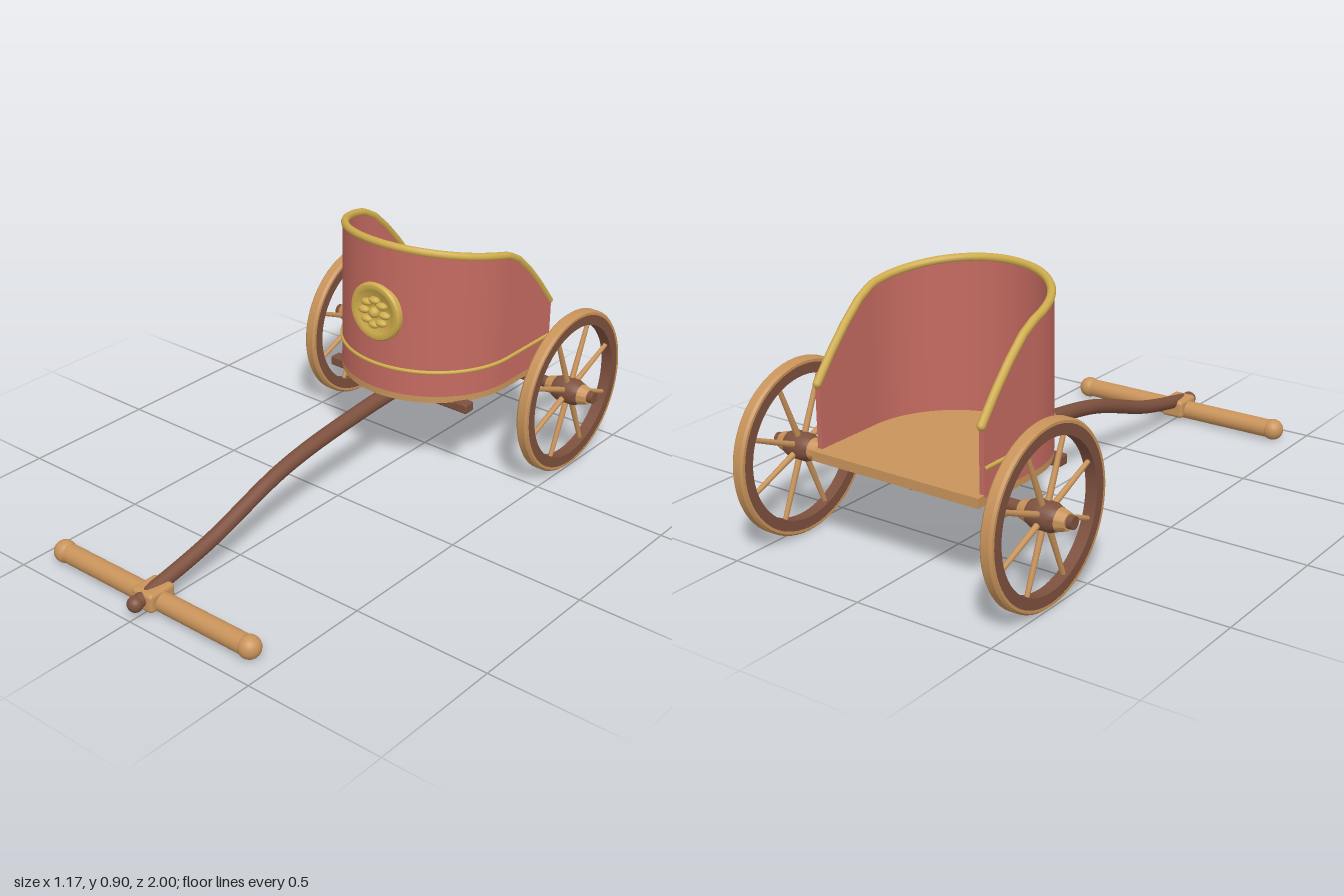
import * as THREE from 'three';
import { toCreasedNormals, mergeGeometries } from 'three/addons/utils/BufferGeometryUtils.js';
import { RoundedBoxGeometry } from 'three/addons/geometries/RoundedBoxGeometry.js';

const V = (x, y, z) => new THREE.Vector3(x, y, z);
const REAR = -0.79, MID = -0.53; // rear end of the walls, centre of the rounded front

// Height of the wall's upper edge at depth z
function topHeight(z) {
  const pts = [[-0.79, 0.575], [-0.72, 0.66], [-0.65, 0.735], [-0.58, 0.797], [-0.52, 0.83], [-0.45, 0.846], [-0.2, 0.893]];
  for (let i = 1; i < pts.length; i++) {
    const [z0, y0] = pts[i - 1], [z1, y1] = pts[i];
    if (z <= z1) return y0 + (y1 - y0) * (z - z0) / (z1 - z0);
  }
  return 0.893;
}

// U-shaped plan line at radius r, from the left rear round the front to the right rear
function planLine(r, height) {
  const out = [], n = 16, arc = 48;
  const add = (x, z) => out.push(V(x, height(z), z));
  for (let i = 0; i < n; i++) add(r, REAR + (MID - REAR) * i / n);
  for (let i = 0; i <= arc; i++) {
    const a = Math.PI * i / arc;
    add(r * Math.cos(a), MID + r * Math.sin(a));
  }
  for (let i = 1; i <= n; i++) add(-r, MID + (REAR - MID) * i / n);
  return out;
}

// Ribbon of faces between two rows of points
function strip(a, b) {
  const pos = [], idx = [];
  a.forEach((p, i) => {
    pos.push(...p.toArray(), ...b[i].toArray());
    const k = 2 * i;
    if (i < a.length - 1) idx.push(k, k + 1, k + 2, k + 1, k + 3, k + 2);
  });
  const g = new THREE.BufferGeometry();
  g.setAttribute('position', new THREE.Float32BufferAttribute(pos, 3));
  g.setIndex(idx);
  g.computeVertexNormals();
  return g;
}

// Curved wall with thickness and closed ends
function wallGeometry() {
  const low = () => 0.35;
  const ob = planLine(0.326, low), ot = planLine(0.326, topHeight);
  const ib = planLine(0.308, low), it = planLine(0.308, topHeight);
  const e = ob.length - 1;
  return mergeGeometries([
    strip(ob, ot), strip(it, ib), strip(ot, it), strip(ib, ob),
    strip([ob[0], ot[0]], [ib[0], it[0]]), strip([ib[e], it[e]], [ob[e], ot[e]]),
  ]);
}

const turned = (pts, seg = 48) =>
  toCreasedNormals(new THREE.LatheGeometry(pts.map(p => new THREE.Vector2(...p)), seg), 0.6);

const tube = (pts, r, seg) =>
  new THREE.TubeGeometry(new THREE.CatmullRomCurve3(pts), seg, r, 10);

export function createModel() {
  const model = new THREE.Group();
  model.name = 'chariot';
  const mat = (name, color) => Object.assign(new THREE.MeshStandardMaterial({ color }), { name });
  const red = mat('red paint', 0xc46a60);
  const wood = mat('light wood', 0xc8935a);
  const dark = mat('dark wood', 0x7d503e);
  const gold = mat('gold', 0xcfac4c);

  function add(parent, name, geometry, material, x = 0, y = 0, z = 0) {
    const m = new THREE.Mesh(geometry, material);
    m.name = name;
    m.position.set(x, y, z);
    parent.add(m);
    return m;
  }

  // Floor with rounded front
  const plan = new THREE.Shape();
  plan.moveTo(-0.325, 0.82);
  plan.lineTo(-0.325, -MID);
  plan.absarc(0, -MID, 0.325, Math.PI, 2 * Math.PI, false);
  plan.lineTo(0.325, 0.82);
  plan.closePath();
  const floorGeo = new THREE.ExtrudeGeometry(plan, { depth: 0.033, bevelEnabled: false, curveSegments: 48 });
  floorGeo.rotateX(-Math.PI / 2);
  add(model, 'floor', toCreasedNormals(floorGeo, 0.6), wood, 0, 0.326, 0);

  // Wall, gold edge and gold band
  add(model, 'wall', wallGeometry(), red);
  const rim = planLine(0.317, topHeight);
  add(model, 'wallEdgeTrim', tube(rim, 0.014, 160), gold);
  const band = planLine(0.326, () => 0.443);
  add(model, 'wallBand', tube(band, 0.007, 120), gold);
  for (const p of [rim[0], rim[rim.length - 1]])
    add(model, 'trimEnd', new THREE.SphereGeometry(0.014, 12, 8), gold, p.x, p.y, p.z);

  // Medallion with rosette
  const medallion = new THREE.Group();
  medallion.name = 'medallion';
  medallion.position.set(0, 0.64, -0.21);
  model.add(medallion);
  const disc = turned([[0, -0.012], [0.098, -0.012], [0.106, -0.004], [0.106, 0.012], [0.1, 0.019],
    [0.09, 0.021], [0.078, 0.017], [0.07, 0.012], [0, 0.012]], 48);
  add(medallion, 'medallionDisc', disc.rotateX(Math.PI / 2), gold);
  add(medallion, 'rosetteCentre', new THREE.SphereGeometry(0.02, 16, 12), gold, 0, 0, 0.018);
  for (let i = 0; i < 8; i++) {
    const a = i * Math.PI / 4;
    const petal = add(medallion, 'petal', new THREE.SphereGeometry(1, 16, 10), gold,
      0.045 * Math.cos(a), 0.045 * Math.sin(a), 0.018);
    petal.scale.set(0.023, 0.013, 0.016);
  }

  // Undercarriage
  const axle = add(model, 'axle', new THREE.CylinderGeometry(0.021, 0.021, 1.17, 20), dark, 0, 0.304, -0.7);
  axle.rotation.z = Math.PI / 2;
  add(model, 'frontCrossbar', new RoundedBoxGeometry(0.61, 0.035, 0.046, 2, 0.006), dark, 0, 0.313, -0.345);

  // Draught pole, thinner towards the front
  const poleCurve = new THREE.CatmullRomCurve3([V(0, 0.303, -0.72), V(0, 0.3, -0.45), V(0, 0.288, -0.15),
    V(0, 0.237, 0.27), V(0, 0.12, 0.65), V(0, 0.055, 0.972)]);
  const rings = 60, sides = 16;
  const poleGeo = new THREE.TubeGeometry(poleCurve, rings, 0.03, sides);
  const pos = poleGeo.attributes.position, p = V(0, 0, 0);
  for (let i = 0; i < pos.count; i++) {
    const u = Math.floor(i / (sides + 1)) / rings, c = poleCurve.getPointAt(u);
    p.fromBufferAttribute(pos, i).sub(c).multiplyScalar(1 - 0.2 * u).add(c);
    pos.setXYZ(i, p.x, p.y, p.z);
  }
  add(model, 'pole', poleGeo, dark);
  add(model, 'poleTip', new THREE.SphereGeometry(0.027, 20, 14), dark, 0, 0.055, 0.973);
  add(model, 'poleBackEnd', new THREE.SphereGeometry(0.03, 16, 12), dark, 0, 0.303, -0.72);

  // Yoke
  const yoke = add(model, 'yoke', new THREE.CylinderGeometry(0.034, 0.034, 0.82, 24), wood, 0, 0.042, 0.895);
  yoke.rotation.z = Math.PI / 2;
  add(model, 'yokeBlock', new RoundedBoxGeometry(0.09, 0.068, 0.11, 3, 0.014), wood, 0, 0.053, 0.895);

  // Wheels and yoke ends, mirrored
  const tyre = turned([[0.282, -0.022], [0.291, -0.022], [0.298, -0.014], [0.298, 0.014], [0.291, 0.022],
    [0.282, 0.022], [0.282, -0.022]], 64);
  const felloe = turned([[0.246, -0.021], [0.284, -0.021], [0.284, 0.021], [0.246, 0.021], [0.246, -0.021]], 64);
  const nave = turned([[0, -0.052], [0.038, -0.052], [0.047, -0.03], [0.047, 0.03], [0.038, 0.052], [0, 0.052]], 28);
  const naveEnd = turned([[0, 0.05], [0.038, 0.05], [0.032, 0.072], [0.028, 0.085], [0, 0.085]], 28);
  for (const side of [1, -1]) {
    add(model, 'yokeEnd', new THREE.SphereGeometry(0.039, 24, 16), wood, side * 0.409, 0.042, 0.895);
    const wheel = new THREE.Group();
    wheel.name = side > 0 ? 'leftWheel' : 'rightWheel';
    wheel.position.set(side * 0.48, 0.302, -0.7);
    wheel.rotation.z = -side * Math.PI / 2;
    model.add(wheel);
    add(wheel, 'tyre', tyre, wood);
    add(wheel, 'rim', felloe, dark);
    add(wheel, 'hub', nave, dark);
    add(wheel, 'outerHubEnd', naveEnd, wood);
    add(wheel, 'innerHubEnd', naveEnd, wood).rotation.x = Math.PI;
    for (let i = 0; i < 8; i++) {
      const a = (i + 0.5) * Math.PI / 4;
      const spoke = add(wheel, 'spoke', new THREE.CylinderGeometry(0.008, 0.011, 0.23, 10), wood,
        0.14 * Math.cos(a), 0, 0.14 * Math.sin(a));
      spoke.quaternion.setFromUnitVectors(V(0, 1, 0), V(Math.cos(a), 0, Math.sin(a)));
    }
  }
  return model;
}
